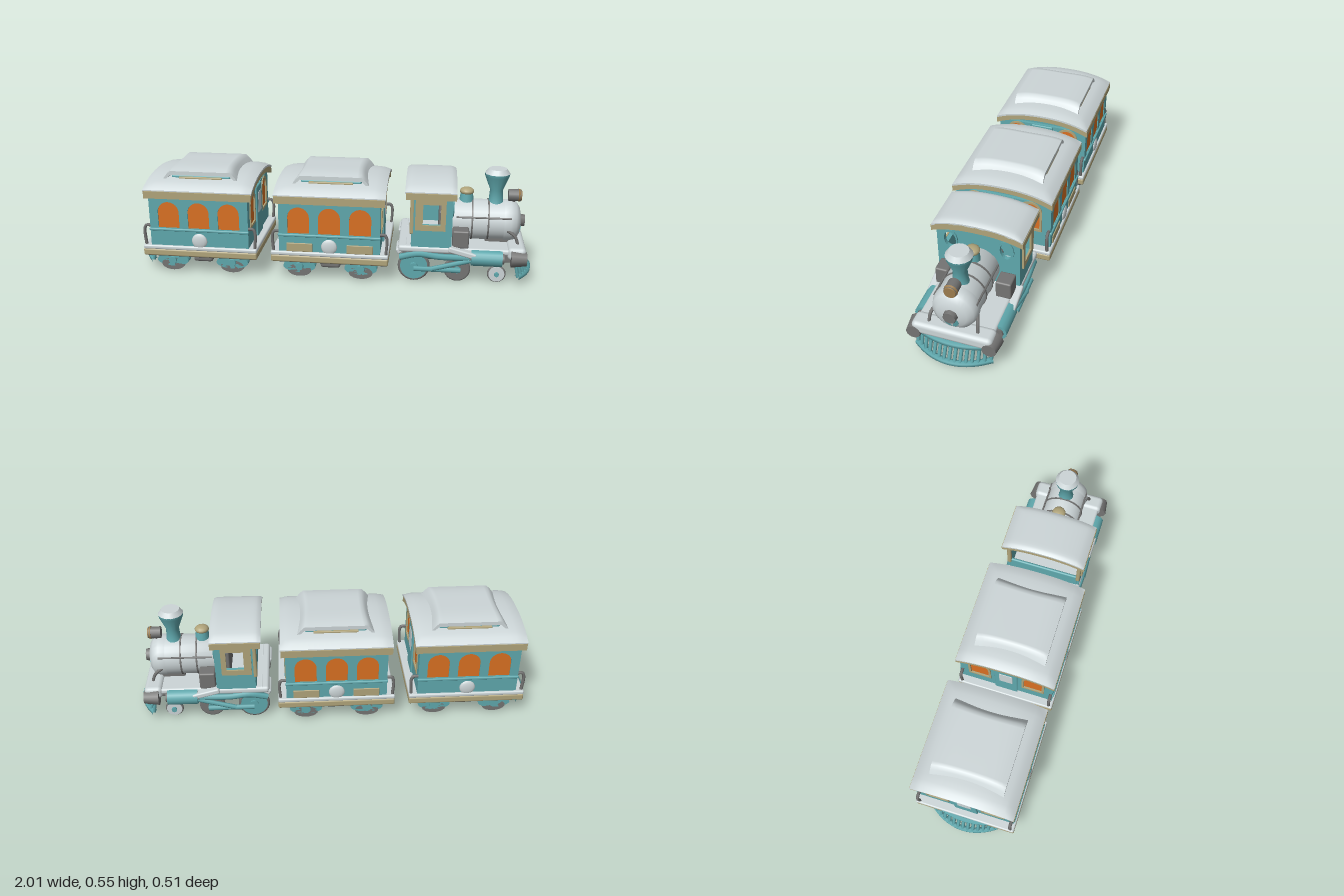
import * as THREE from 'three';
import { RoundedBoxGeometry } from 'three/addons/geometries/RoundedBoxGeometry.js';

const mat = (name, color) => Object.assign(new THREE.MeshStandardMaterial({ color }), { name });
const M = {
  snow: mat('snow white', 0xccd5d7), teal: mat('teal', 0x5fa8ad), tan: mat('tan', 0xb0a47a),
  orange: mat('window orange', 0xd97022), grey: mat('iron grey', 0x747473), brass: mat('brass', 0x9c7c4e),
};

function add(g, name, geo, m, x = 0, y = 0, z = 0) {
  const mesh = new THREE.Mesh(geo, m);
  mesh.name = name;
  mesh.position.set(x, y, z);
  g.add(mesh);
  return mesh;
}
const box = (g, name, m, w, h, d, x, y, z, r = 0.008) =>
  add(g, name, new RoundedBoxGeometry(w, h, d, 2, Math.min(r, w / 2.1, h / 2.1, d / 2.1)), m, x, y, z);

// cylinder along x, y or z
function cyl(g, name, m, r1, r2, len, axis, x, y, z, sides = 20) {
  const geo = new THREE.CylinderGeometry(r1, r2, len, sides);
  if (axis === 'x') geo.rotateZ(-Math.PI / 2);
  if (axis === 'z') geo.rotateX(Math.PI / 2);
  return add(g, name, geo, m, x, y, z);
}
function tube(g, name, m, pts, r) {
  const curve = new THREE.CatmullRomCurve3(pts.map(p => new THREE.Vector3(...p)));
  return add(g, name, new THREE.TubeGeometry(curve, pts.length > 2 ? 20 : 1, r, 6), m);
}

// block whose top (and optionally bottom) follows an arch across z, dipping at the ends
function vault(g, name, m, hx, hz, y0, thick, rise, x, flatBottom = false, dip = 0) {
  const geo = new THREE.BoxGeometry(2 * hx, 1, 2 * hz, 20, 1, 20);
  const p = geo.attributes.position;
  for (let i = 0; i < p.count; i++) {
    const u = Math.abs(p.getX(i) / hx), v = Math.abs(p.getZ(i) / hz);
    const arch = rise * (1 - v ** 2.4), top = p.getY(i) > 0;
    const drop = top ? dip * Math.max(u ** 10, v ** 14) : 0;
    p.setY(i, y0 + (top ? thick : 0) + (flatBottom && !top ? 0 : arch) - drop);
  }
  geo.computeVertexNormals();
  return add(g, name, geo, m, x);
}

// arched opening with its sill at y
function arch(P, cx, y, w, h) {
  const p = new P(), r = w / 2;
  p.moveTo(cx - r, y);
  p.lineTo(cx + r, y);
  p.lineTo(cx + r, y + h - r);
  p.absarc(cx, y + h - r, r, 0, Math.PI, false);
  p.closePath();
  return p;
}
function rect(P, x0, y0, x1, y1) {
  return new P([[x0, y0], [x1, y0], [x1, y1], [x0, y1]].map(a => new THREE.Vector2(...a)));
}
function plate(shape, holes, depth) {
  shape.holes.push(...holes);
  return new THREE.ExtrudeGeometry(shape, { depth, bevelEnabled: false, curveSegments: 10 }).translate(0, 0, -depth / 2);
}

// slatted curved guard; s is the end it faces
function guard(g, x, s) {
  const at = (z, y, out, k) => [x + s * (out - k * (z / 0.18) ** 2), y, z];
  const arc = (y, out, k) => [-0.18, -0.12, -0.06, 0, 0.06, 0.12, 0.18].map(z => at(z, y, out, k));
  tube(g, 'guardBottomRail', M.teal, arc(0.042, 0.068, 0.07), 0.015);
  tube(g, 'guardTopRail', M.teal, arc(0.122, 0.03, 0.045), 0.017);
  for (let i = -7; i <= 7; i++) {
    const z = i * 0.025;
    tube(g, 'guardSlat', M.teal, [at(z, 0.045, 0.07, 0.07), at(z, 0.125, 0.03, 0.045)], 0.009);
  }
}

function wheel(g, m, rim, r, x, y, z) {
  cyl(g, 'wheelDisc', m, r * 0.85, r * 0.85, 0.022, 'z', x, y, z);
  add(g, 'wheelRim', new THREE.TorusGeometry(r * 0.86, r * 0.14, 8, 24), rim, x, y, z);
  cyl(g, 'wheelHub', M.teal, r * 0.25, r * 0.3, 0.045, 'z', x, y, z, 10);
}

function makeCar(name, cx, panels) {
  const g = new THREE.Group();
  g.name = name;
  g.position.x = cx;
  // floor, body core and roof
  box(g, 'platform', M.tan, 0.585, 0.036, 0.51, 0, 0.118, 0, 0.008);
  box(g, 'platformSnow', M.snow, 0.586, 0.022, 0.51, 0, 0.145, 0);
  box(g, 'underfloor', M.grey, 0.565, 0.016, 0.485, 0, 0.103, 0, 0.004);
  vault(g, 'bodyCore', M.teal, 0.235, 0.225, 0.15, 0.26, 0.05, 0, true);
  vault(g, 'eaveTrim', M.tan, 0.272, 0.255, 0.405, 0.037, 0.05, 0);
  vault(g, 'roof', M.snow, 0.275, 0.253, 0.438, 0.026, 0.044, 0, false, 0.016);
  // raised roof light with a snow cap that slopes into the roof at both ends
  box(g, 'roofLightSlot', M.teal, 0.3, 0.03, 0.33, 0, 0.49, 0);
  box(g, 'roofLightTrim', M.tan, 0.22, 0.012, 0.352, 0, 0.492, 0, 0.004);
  const cap = new THREE.BoxGeometry(0.38, 0.034, 0.36, 20, 2, 16), p = cap.attributes.position;
  for (let i = 0; i < p.count; i++) {
    const u = Math.abs(p.getX(i) / 0.19), v = Math.abs(p.getZ(i) / 0.18);
    p.setX(i, p.getX(i) * (1 - 0.08 * (1 - v * v) * u));
    const slope = Math.max(0, (u - 0.8) / 0.2) ** 1.3;
    p.setY(i, p.getY(i) - 0.042 * slope - (p.getY(i) > 0.01 ? 0.014 * v ** 4 : 0));
  }
  cap.computeVertexNormals();
  add(g, 'roofLightCap', cap, M.snow, 0, 0.525);
  for (const s of [-1, 1]) {
    // long side: wall with three arched windows
    const xs = [-0.153, 0, 0.153];
    add(g, 'sideWall', plate(rect(THREE.Shape, -0.25, 0.15, 0.25, 0.415),
      xs.map(x => arch(THREE.Path, x, 0.25, 0.108, 0.136)), 0.018), M.teal, 0, 0, s * 0.235);
    for (const x of xs) {
      add(g, 'sideWindow', plate(arch(THREE.Shape, x, 0.246, 0.114, 0.144), [], 0.006), M.orange, 0, 0, s * 0.236);
    }
    box(g, 'beltRail', M.teal, 0.51, 0.014, 0.014, 0, 0.241, s * 0.245, 0.005);
    const blob = add(g, 'snowPatch', new THREE.SphereGeometry(0.04, 14, 10), M.snow, 0, 0.185, s * 0.244);
    blob.scale.z = 0.3;
    if (panels) for (const x of [-0.148, 0.152]) box(g, 'sidePanel', M.tan, 0.13, 0.045, 0.008, x, 0.178, s * 0.245, 0.003);
    // end wall with two windows and a door
    const zs = [-0.14, 0.14];
    const end = add(g, 'endWall', plate(rect(THREE.Shape, -0.244, 0.15, 0.244, 0.42),
      zs.map(z => arch(THREE.Path, z, 0.255, 0.1, 0.155)), 0.018), M.teal, s * 0.242);
    end.rotation.y = Math.PI / 2;
    for (const z of zs) {
      const pane = add(g, 'endWindow', plate(arch(THREE.Shape, 0, 0.25, 0.106, 0.163), [], 0.006), M.orange, s * 0.244, 0, z);
      pane.rotation.y = Math.PI / 2;
      const frame = add(g, 'endWindowFrame', plate(arch(THREE.Shape, 0, 0.245, 0.118, 0.175),
        [arch(THREE.Path, 0, 0.258, 0.094, 0.15)], 0.008), M.tan, s * 0.252, 0, z);
      frame.rotation.y = Math.PI / 2;
    }
    box(g, 'endDoor', M.teal, 0.012, 0.27, 0.12, s * 0.254, 0.285, 0);
    box(g, 'endDoorPane', M.snow, 0.008, 0.11, 0.07, s * 0.258, 0.33, 0, 0.003);
    // corner handrails
    for (const t of [-1, 1]) {
      tube(g, 'handrail', M.grey, [[s * 0.28, 0.15, t * 0.235], [s * 0.284, 0.235, t * 0.235], [s * 0.275, 0.256, t * 0.235], [s * 0.25, 0.258, t * 0.235]], 0.008);
    }
    // bogies: oval side frames over grey shoes
    for (const t of [-1, 1]) {
      const x = t * 0.155;
      const oval = cyl(g, 'bogieFrame', M.teal, 0.082, 0.082, 0.04, 'z', x, 0.064, s * 0.195, 24);
      oval.scale.y = 0.4;
      const shoe = cyl(g, 'bogieShoe', M.grey, 0.06, 0.06, 0.05, 'z', x, 0.043, s * 0.19, 20);
      shoe.scale.y = 0.55;
      cyl(g, 'axleBox', M.teal, 0.02, 0.024, 0.03, 'z', x, 0.064, s * 0.21, 10);
      box(g, 'bogieBeam', M.teal, 0.06, 0.04, 0.17, x, 0.08, s * 0.1);
    }
    box(g, 'underBox', M.grey, 0.1, 0.045, 0.07, 0, 0.078, s * 0.17, 0.014);
  }
  return g;
}

function makeEngine() {
  const g = new THREE.Group();
  g.name = 'engine';
  // frame and snowy running boards
  box(g, 'chassis', M.grey, 0.56, 0.07, 0.22, 0.63, 0.125, 0);
  box(g, 'cabDeck', M.snow, 0.27, 0.035, 0.41, 0.465, 0.178, 0, 0.014);
  box(g, 'runningBoard', M.snow, 0.35, 0.03, 0.36, 0.74, 0.17, 0, 0.012);
  box(g, 'bumper', M.snow, 0.09, 0.065, 0.38, 0.91, 0.165, 0, 0.022);
  for (const s of [-1, 1]) {
    const slope = box(g, 'boardSlope', M.snow, 0.14, 0.028, 0.06, 0.645, 0.17, s * 0.185);
    slope.rotation.z = -0.25;
    const tail = box(g, 'tailStep', M.snow, 0.06, 0.03, 0.12, 0.35, 0.172, s * 0.14);
    tail.rotation.z = 0.5;
    cyl(g, 'buffer', M.grey, 0.034, 0.044, 0.075, 'x', 0.92, 0.143, s * 0.178, 10);
    cyl(g, 'steamCylinder', M.teal, 0.04, 0.04, 0.15, 'x', 0.765, 0.14, s * 0.18, 16);
    cyl(g, 'cylinderCap', M.grey, 0.026, 0.026, 0.17, 'x', 0.765, 0.14, s * 0.18, 12);
    box(g, 'sideTank', M.grey, 0.08, 0.09, 0.075, 0.635, 0.23, s * 0.147);
    // wheels and rods
    wheel(g, M.teal, M.grey, 0.08, 0.41, 0.08, s * 0.17);
    wheel(g, M.grey, M.grey, 0.066, 0.625, 0.066, s * 0.155);
    wheel(g, M.snow, M.grey, 0.046, 0.82, 0.048, s * 0.15);
    tube(g, 'couplingRod', M.teal, [[0.41, 0.075, s * 0.198], [0.64, 0.075, s * 0.198]], 0.013);
    tube(g, 'mainRod', M.teal, [[0.5, 0.08, s * 0.205], [0.71, 0.135, s * 0.195]], 0.012);
    tube(g, 'valveRod', M.teal, [[0.34, 0.13, s * 0.19], [0.43, 0.155, s * 0.2], [0.53, 0.145, s * 0.2], [0.69, 0.14, s * 0.19]], 0.016);
    tube(g, 'boilerHandrail', M.grey, [[0.61, 0.32, s * 0.102], [0.88, 0.32, s * 0.098]], 0.005);
    tube(g, 'frontBrace', M.grey, [[0.86, 0.26, s * 0.095], [0.9, 0.235, s * 0.11], [0.92, 0.185, s * 0.115]], 0.008);
  }
  for (const x of [0.41, 0.625, 0.82]) cyl(g, 'axle', M.grey, 0.014, 0.014, 0.3, 'z', x, x > 0.8 ? 0.05 : 0.072, 0, 8);
  guard(g, 0.918, 1);

  // boiler with rounded nose
  const pts = [[0, 0], [0.102, 0], [0.102, 0.27], [0.106, 0.275], [0.106, 0.305], [0.096, 0.332], [0.07, 0.35], [0.035, 0.358], [0, 0.36]];
  const boiler = new THREE.LatheGeometry(pts.map(a => new THREE.Vector2(...a)), 28).rotateZ(-Math.PI / 2);
  add(g, 'boiler', boiler, M.snow, 0.575, 0.28, 0);
  for (const x of [0.69, 0.77]) cyl(g, 'boilerBand', M.grey, 0.106, 0.106, 0.008, 'x', x, 0.28, 0, 28);
  cyl(g, 'noseKnob', M.grey, 0.03, 0.036, 0.03, 'x', 0.938, 0.282, 0, 8);
  const patch = cyl(g, 'nosePatch', M.teal, 0.034, 0.034, 0.008, 'x', 0.928, 0.242, 0, 12);
  patch.rotation.z = -0.22;
  box(g, 'boilerSaddle', M.grey, 0.12, 0.06, 0.13, 0.82, 0.185, 0);

  // chimney, dome and lamp
  const stack = [[0.045, 0.36], [0.036, 0.385], [0.032, 0.44], [0.06, 0.51], [0.062, 0.525]];
  add(g, 'chimney', new THREE.LatheGeometry(stack.map(a => new THREE.Vector2(...a)), 16), M.teal, 0.805);
  cyl(g, 'chimneySnow', M.snow, 0.045, 0.062, 0.024, 'y', 0.805, 0.536, 0, 16);
  cyl(g, 'steamDome', M.teal, 0.03, 0.038, 0.06, 'y', 0.66, 0.395, 0, 14);
  const top = add(g, 'domeCap', new THREE.SphereGeometry(0.036, 14, 10), M.tan, 0.66, 0.426, 0);
  top.scale.y = 0.55;
  cyl(g, 'lamp', M.grey, 0.03, 0.03, 0.06, 'x', 0.895, 0.413, 0, 14);
  cyl(g, 'lampLens', M.brass, 0.027, 0.033, 0.016, 'x', 0.922, 0.413, 0, 14);
  tube(g, 'lampBracket', M.grey, [[0.885, 0.35, 0], [0.89, 0.4, 0]], 0.012);

  // cab walls with open windows
  for (const s of [-1, 1]) {
    add(g, 'cabSide', plate(rect(THREE.Shape, 0.395, 0.18, 0.585, 0.46),
      [rect(THREE.Path, 0.445, 0.305, 0.535, 0.415)], 0.02), M.teal, 0, 0, s * 0.19);
    add(g, 'cabWindowFrame', plate(rect(THREE.Shape, 0.41, 0.28, 0.558, 0.44),
      [rect(THREE.Path, 0.447, 0.307, 0.533, 0.413)], 0.009), M.tan, 0, 0, s * 0.204);
    box(g, 'cabRearPost', M.tan, 0.022, 0.2, 0.022, 0.395, 0.355, s * 0.19);
  }
  box(g, 'backhead', M.grey, 0.05, 0.16, 0.2, 0.55, 0.265, 0);
  const face = new THREE.Shape();
  face.moveTo(-0.2, 0.18);
  face.lineTo(0.2, 0.18);
  face.lineTo(0.2, 0.455);
  face.quadraticCurveTo(0, 0.53, -0.2, 0.455);
  const eye = (P, s, k) => new P().absellipse(s * 0.135, 0.395, 0.031 * k, 0.048 * k, 0, Math.PI * 2, true);
  const front = add(g, 'cabFront', plate(face, [-1, 1].map(s => eye(THREE.Path, s, 1)), 0.02), M.teal, 0.58);
  front.rotation.y = Math.PI / 2;
  for (const s of [-1, 1]) {
    const ring = add(g, 'cabFrontWindowFrame', plate(eye(THREE.Shape, s, 1.25), [eye(THREE.Path, s, 1)], 0.008), M.teal, 0.593);
    ring.rotation.y = Math.PI / 2;
  }
  box(g, 'cabRearWall', M.teal, 0.016, 0.1, 0.38, 0.4, 0.23, 0);
  vault(g, 'cabRoofTrim', M.tan, 0.122, 0.22, 0.44, 0.032, 0.035, 0.484);
  vault(g, 'cabRoof', M.snow, 0.124, 0.217, 0.468, 0.022, 0.036, 0.482, false, 0.012);
  return g;
}

export function createModel() {
  const model = new THREE.Group();
  model.name = 'train';
  const rear = makeCar('rearCar', -0.663, false);
  guard(rear, -0.267, -1);
  model.add(makeEngine(), makeCar('middleCar', -0.007, true), rear);
  return model;
}
